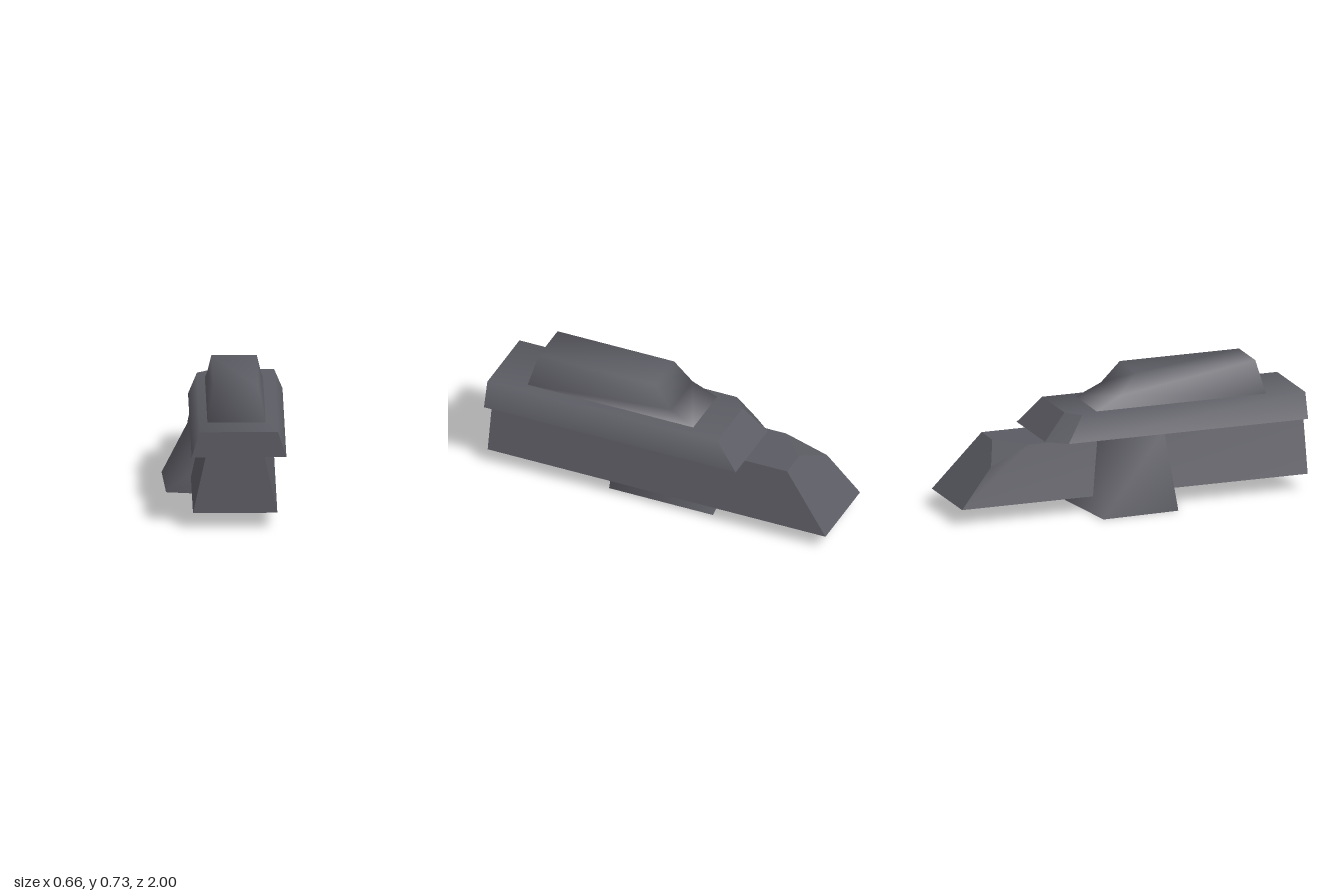
import * as THREE from 'three';

const grey = new THREE.MeshStandardMaterial({ color: 0x5b5b63, side: THREE.DoubleSide });
grey.name = 'dark grey';

// Shell from corner points and polygon faces: smooth faces share normals, flat faces do not.
function shell(name, points, smoothFaces, flatFaces) {
  const positions = [];
  const index = [];
  const fan = (ids) => {
    for (let i = 1; i < ids.length - 1; i++) index.push(ids[0], ids[i], ids[i + 1]);
  };
  points.forEach((p) => positions.push(...p));
  smoothFaces.forEach(fan);
  flatFaces.forEach((face) => {
    const start = positions.length / 3;
    face.forEach((id) => positions.push(...points[id]));
    fan(face.map((_, i) => start + i));
  });
  const geometry = new THREE.BufferGeometry();
  geometry.setAttribute('position', new THREE.Float32BufferAttribute(positions, 3));
  geometry.setIndex(index);
  geometry.computeVertexNormals();
  const mesh = new THREE.Mesh(geometry, grey);
  mesh.name = name;
  return mesh;
}

// Places a list of [x, z] corners at one height.
const ring = (y, corners) => corners.map(([x, z]) => [x, y, z]);

// Side walls between two rings of n corners, listed counter-clockwise from above.
const walls = (n) =>
  Array.from({ length: n }, (_, i) => [i, (i + 1) % n, n + ((i + 1) % n), n + i]);

export function createModel() {
  const model = new THREE.Group();
  model.name = 'model';

  // Long lower body, open below, with a sloped back and one cut corner
  const body = shell('lowerBody', [
    ...ring(0.09, [[0.278, 1], [0.278, -1], [-0.178, -1], [-0.178, 1]]),
    ...ring(0.4, [[0.21, 1], [0.205, -0.74], [0.045, -0.74], [-0.117, -0.59], [-0.11, 1]]),
    [-0.145, 0.305, -0.82],
  ], [], [
    [0, 1, 5, 4], [1, 2, 9, 6, 5], [9, 7, 6], [2, 3, 8, 7, 9], [3, 0, 4, 8], [4, 5, 6, 7, 8],
  ]);

  // Overhanging deck with a cut back corner
  const deckWalls = walls(5);
  const deck = shell('deck', [
    ...ring(0.4, [[0.327, 1], [0.327, -0.49], [-0.097, -0.49], [-0.185, -0.385], [-0.185, 1]]),
    ...ring(0.54, [[0.282, 1], [0.28, -0.36], [-0.055, -0.36], [-0.138, -0.29], [-0.142, 1]]),
  ], [deckWalls[0], deckWalls[3], [5, 6, 7, 8, 9]], [deckWalls[1], deckWalls[2], deckWalls[4]]);

  // Rounded-looking cabin with a two-step back slope
  const cabin = shell('cabin', [
    ...ring(0.54, [[0.218, 0.79], [0.218, -0.19], [-0.097, -0.19], [-0.097, 0.79]]),
    ...ring(0.725, [[0.18, 0.74], [0.18, 0.05], [-0.065, 0.05], [-0.065, 0.74]]),
    ...ring(0.61, [[0.203, -0.05], [-0.085, -0.05]]),
  ], [
    [8, 5, 4, 0, 1], [1, 2, 9, 8], [8, 9, 6, 5], [9, 2, 3, 7, 6], [3, 0, 4, 7], [4, 5, 6, 7],
  ], []);

  // Flared foot reaching out to one side, open at both ends
  const foot = shell('foot', [
    ...ring(0, [[0.225, 0.305], [0.225, -0.31], [-0.33, -0.24], [-0.312, 0.2]]),
    ...ring(0.4, [[0.16, 0.27], [0.16, -0.27], [-0.133, -0.19], [-0.125, 0.19]]),
  ], walls(4), []);

  model.add(body, deck, cabin, foot);
  return model;
}
